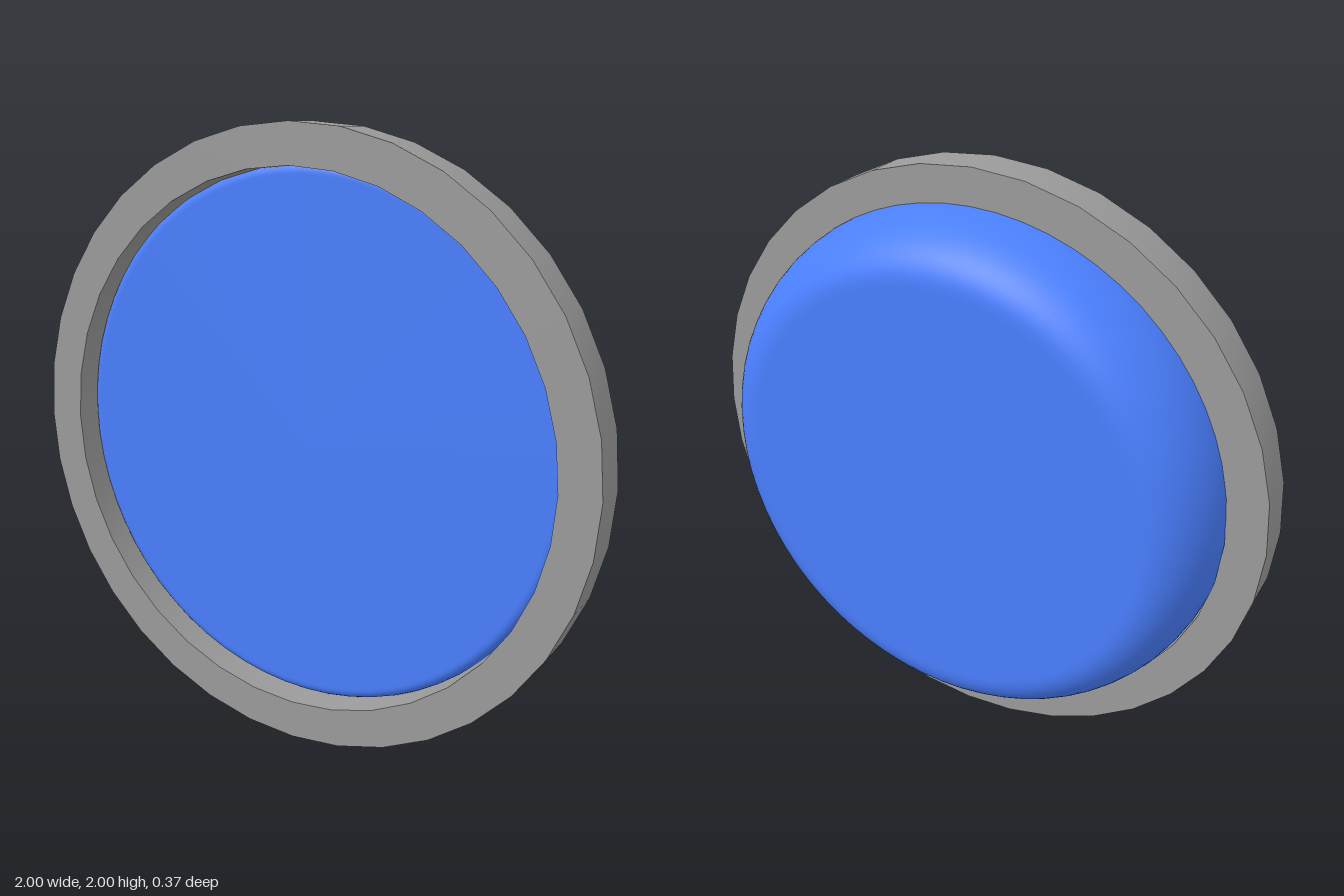
import * as THREE from 'three';
import { toCreasedNormals } from 'three/addons/utils/BufferGeometryUtils.js';

// Revolve [radius, z] pairs (ordered back to front on the outside) about the z axis
function revolve(profile, segments) {
  const points = profile.map(([r, z]) => new THREE.Vector2(r, z));
  return new THREE.LatheGeometry(points, segments).rotateX(Math.PI / 2);
}

export function createModel() {
  const model = new THREE.Group();
  model.name = 'roundButton';

  // Flat ring with sharp rims and smoothly shaded walls
  const ringProfile = [[1, 0.045], [1, 0.185], [0.873, 0.185], [0.873, 0.045], [1, 0.045]];
  const ring = new THREE.Mesh(
    toCreasedNormals(revolve(ringProfile, 36), 0.6),
    new THREE.MeshStandardMaterial({ color: 0x9b9b9b })
  );
  ring.name = 'outerRing';
  ring.position.y = 1;
  model.add(ring);

  // Domed back: elliptical shoulder curving from the flat back into the ring
  const shoulder = [];
  for (let i = 0; i <= 16; i++) {
    const a = (i / 16) * Math.PI / 2;
    shoulder.push([0.7 + 0.176 * Math.sin(a), 0.08 - 0.265 * Math.cos(a)]);
  }

  // Narrow rounded rim leading to the recessed flat front
  const rim = [];
  for (let i = 1; i <= 6; i++) {
    const a = (i / 6) * Math.PI / 2;
    rim.push([0.842 + 0.034 * Math.cos(a), 0.08 + 0.038 * Math.sin(a)]);
  }

  const cushion = new THREE.Mesh(
    revolve([[0, -0.185], [0.69, -0.185], ...shoulder, ...rim, [0.835, 0.118], [0, 0.118]], 64),
    new THREE.MeshStandardMaterial({ color: 0x4a7fff })
  );
  cushion.name = 'domedInsert';
  cushion.position.set(0.004, 1.01, 0);
  model.add(cushion);

  return model;
}
